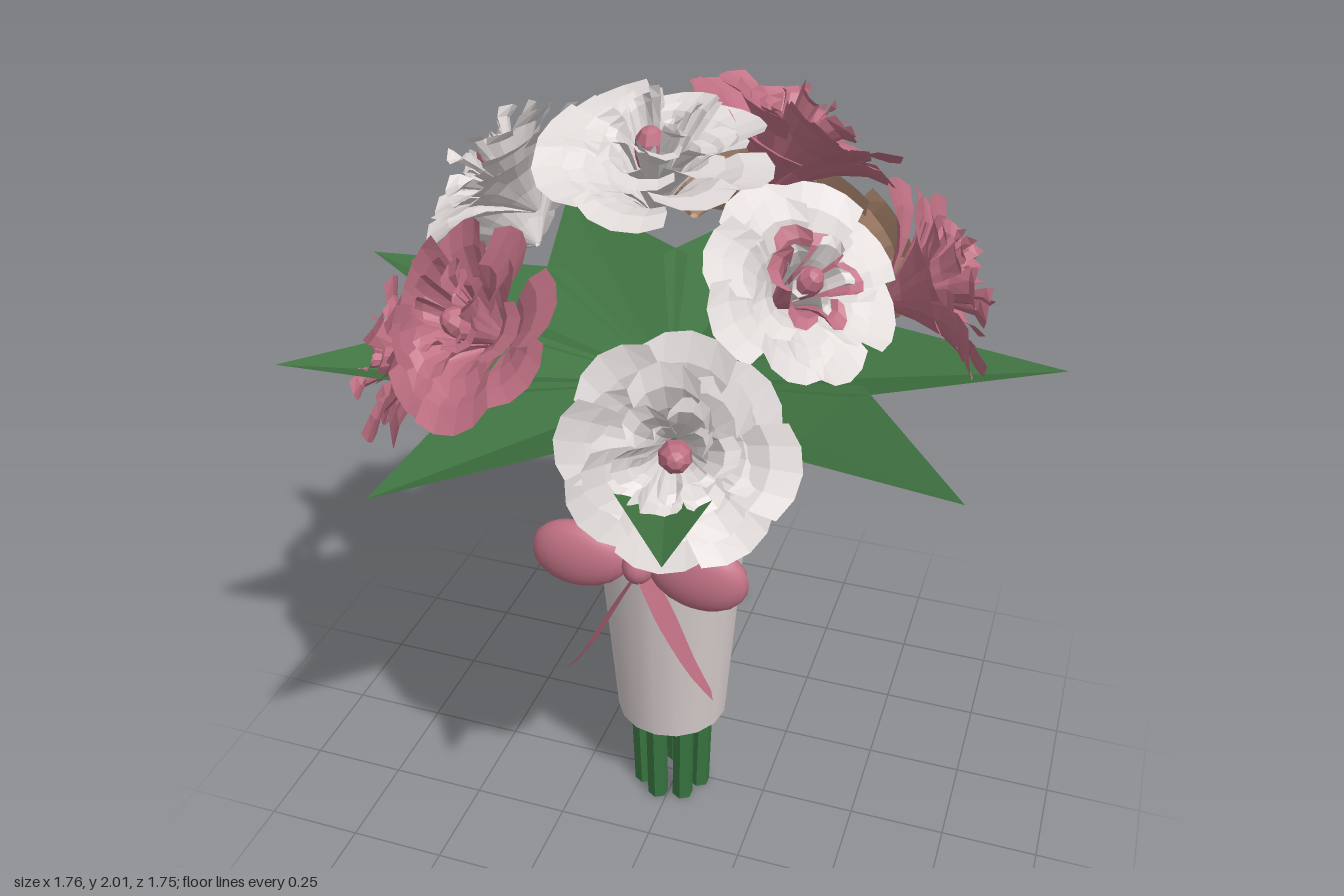
import * as THREE from 'three';
import { mergeGeometries } from 'three/addons/utils/BufferGeometryUtils.js';

const CX = -0.01, CZ = 0.015; // axis of the bunch

function makeMaterial(name, color, flat = true) {
  const m = new THREE.MeshStandardMaterial({ color, flatShading: flat, side: THREE.DoubleSide });
  m.name = name;
  return m;
}

function addMesh(parent, name, geometry, material, x = 0, y = 0, z = 0) {
  const mesh = new THREE.Mesh(geometry, material);
  mesh.name = name;
  mesh.position.set(x, y, z);
  parent.add(mesh);
  return mesh;
}

// Small seeded generator for petal variation
let seed = 7;
function rand() {
  seed = (seed * 16807) % 2147483647;
  return seed / 2147483647;
}

// Surface from a grid of points given by fn(u, v), u and v in 0..1
function gridGeometry(nu, nv, fn) {
  const pos = [], index = [];
  for (let i = 0; i <= nu; i++) {
    for (let j = 0; j <= nv; j++) pos.push(...fn(i / nu, j / nv));
  }
  for (let i = 0; i < nu; i++) {
    for (let j = 0; j < nv; j++) {
      const a = i * (nv + 1) + j, b = a + nv + 1;
      index.push(a, a + 1, b, b, a + 1, b + 1);
    }
  }
  const g = new THREE.BufferGeometry();
  g.setAttribute('position', new THREE.Float32BufferAttribute(pos, 3));
  g.setIndex(index);
  g.computeVertexNormals();
  return g;
}

// One petal of unit flower radius: a curved sector that cups upward
function petal(angle, spread, layer) {
  const reach = layer.reach * (0.95 + 0.09 * rand());
  const height = layer.height + (rand() - 0.5) * 0.24;
  return gridGeometry(4, 4, (t, v) => {
    const s = v * 2 - 1;
    const r = 0.04 + reach * Math.pow(t, layer.bend) * (1 - layer.point * s * s * t);
    const a = angle + s * spread * (0.8 + 0.2 * Math.sin(Math.PI * t));
    const y = height * Math.sin(t * Math.PI * 0.54) + 0.07 * s * t + 0.05 * s * s * t;
    return [r * Math.cos(a), y, r * Math.sin(a)];
  });
}

const LAYERS = [
  { count: 8, reach: 0.98, height: 0.54, point: 0.09, bend: 1.08, wide: 1.35 },
  { count: 7, reach: 0.76, height: 0.64, point: 0.16, bend: 1.1, wide: 1.25 },
  { count: 6, reach: 0.52, height: 0.76, point: 0.28, bend: 1.1, wide: 1.12 },
  { count: 5, reach: 0.33, height: 0.8, point: 0.4, bend: 1.0, wide: 0.85 },
];

// materials: one for each layer, from the outside in
function flower(name, materials, budMaterial, [x, y, z, radius, tilt]) {
  const group = new THREE.Group();
  group.name = name;
  const turn = rand() * 6;
  LAYERS.forEach((layer, k) => {
    const petals = Array.from({ length: layer.count }, (_, i) =>
      petal(turn + k * 0.5 + (i * 2 * Math.PI) / layer.count, (Math.PI / layer.count) * layer.wide, layer));
    addMesh(group, 'petals', mergeGeometries(petals), materials[k], 0, -0.52, 0);
  });
  const bud = addMesh(group, 'bud', new THREE.SphereGeometry(0.15, 8, 6), budMaterial, 0, 0.08, 0);
  bud.scale.y = 1.5;
  // Lean outward from the middle of the bunch
  const lean = THREE.MathUtils.degToRad(tilt), out = Math.atan2(z - CZ, x - CX);
  const axis = new THREE.Vector3(
    Math.sin(lean) * Math.cos(out), Math.cos(lean), Math.sin(lean) * Math.sin(out));
  group.quaternion.setFromUnitVectors(new THREE.Vector3(0, 1, 0), axis);
  group.position.set(x, y, z);
  group.scale.setScalar(radius);
  return group;
}

// Folded, pointed leaf lying along +x
function leafGeometry() {
  const base = [0, 1.265, 0], keel = [0.45, 1.325, 0], tip = [0.895, 1.39, 0];
  const sideA = [0.43, 1.38, 0.19], sideB = [0.43, 1.38, -0.19];
  const g = new THREE.BufferGeometry();
  g.setAttribute('position', new THREE.Float32BufferAttribute([
    base, sideA, keel, keel, sideA, tip, base, keel, sideB, keel, tip, sideB].flat(), 3));
  g.computeVertexNormals();
  return g;
}

export function createModel() {
  seed = 7;
  const model = new THREE.Group();
  model.name = 'bouquet';
  const white = makeMaterial('white petal', 0xe0dad9);
  const pink = makeMaterial('pink petal', 0xc07184);
  const tan = makeMaterial('tan petal', 0xc0967d);
  const leafGreen = makeMaterial('leaf green', 0x407342);
  const stemGreen = makeMaterial('stem green', 0x387440);
  const paper = makeMaterial('wrapper paper', 0xd6cbcb, false);
  const ribbon = makeMaterial('ribbon pink', 0xc27285, false);

  // Stems flaring slightly upward
  const stems = new THREE.Group();
  stems.name = 'stems';
  for (let i = 0; i < 7; i++) {
    const a = (i * 2 * Math.PI) / 7;
    const g = new THREE.CylinderGeometry(0.029, 0.028, 1.2, 6);
    const p = g.attributes.position;
    for (let k = 0; k < p.count; k++) {
      const r = p.getY(k) > 0 ? 0.108 : 0.078;
      p.setX(k, p.getX(k) + r * Math.cos(a));
      p.setZ(k, p.getZ(k) + r * Math.sin(a));
    }
    addMesh(stems, 'stem', g, stemGreen, CX, 0.6, CZ);
  }
  model.add(stems);

  // Open paper cone around the stems
  addMesh(model, 'wrapper', new THREE.CylinderGeometry(0.2, 0.146, 0.715, 16, 1, true),
    paper, CX, 0.633, CZ);

  // Bow: two lobes, knot and two hanging tails
  const bow = new THREE.Group();
  bow.name = 'bow';
  bow.position.set(CX, 0.905, 0.262);
  for (const side of [-1, 1]) {
    const lobe = new THREE.SphereGeometry(1, 18, 12);
    const p = lobe.attributes.position;
    for (let k = 0; k < p.count; k++) {
      const taper = 0.92 + 0.08 * side * p.getX(k);
      p.setXYZ(k, p.getX(k) * 0.122 + side * 0.148, p.getY(k) * 0.096 * taper, p.getZ(k) * 0.055 * taper);
    }
    lobe.computeVertexNormals();
    addMesh(bow, 'bowLobe', lobe, ribbon);
    // z of each path point is the half width of the tail
    const path = new THREE.CatmullRomCurve3([[0, -0.02, 0.035], [0.045, -0.1, 0.054],
      [0.085, -0.18, 0.052], [0.135, -0.28, 0.036], [0.185, -0.355, 0.018]]
      .map(([x, y, w]) => new THREE.Vector3(side * x, y, w)));
    const tail = gridGeometry(8, 1, (u, v) => {
      const q = path.getPoint(u), s = v * 2 - 1;
      return [q.x + side * s * 0.008, q.y, q.z * s];
    });
    addMesh(bow, 'bowTail', tail, ribbon);
  }
  addMesh(bow, 'bowKnot', new THREE.SphereGeometry(0.04, 14, 10), ribbon).scale.set(1, 1.15, 1.2);
  model.add(bow);

  // Ring of nine leaves under the flowers
  const leaves = new THREE.Group();
  leaves.name = 'leaves';
  for (let i = 0; i < 9; i++) {
    const leaf = addMesh(leaves, 'leaf', leafGeometry(), leafGreen, CX, 0, CZ);
    leaf.rotation.y = THREE.MathUtils.degToRad(7.4 - 40 * i);
  }
  model.add(leaves);

  // Flower heads: x, y, z, radius, tilt in degrees
  const plain = (m) => [m, m, m, m];
  const heads = [
    ['whiteFlower', plain(white), [
      [0, 1.875, 0.17, 0.245, 12], [-0.395, 1.76, 0.055, 0.228, 42], [-0.525, 1.51, -0.26, 0.215, 64],
      [0.19, 1.45, 0.59, 0.235, 69]]],
    ['mixedFlower', [white, white, pink, white], [[0.35, 1.69, 0.275, 0.22, 48]]],
    ['pinkFlower', plain(pink), [
      [0.2, 1.815, -0.2, 0.26, 28], [0.56, 1.54, -0.135, 0.245, 66],
      [-0.58, 1.37, 0.26, 0.222, 74], [-0.3, 1.585, 0.46, 0.23, 55]]],
    ['tanFlower', plain(tan), [
      [-0.1, 1.61, -0.48, 0.275, 51], [0.245, 1.39, -0.56, 0.25, 66]]],
  ];
  for (const [name, materials, list] of heads) {
    for (const spec of list) model.add(flower(name, materials, pink, spec));
  }
  return model;
}
